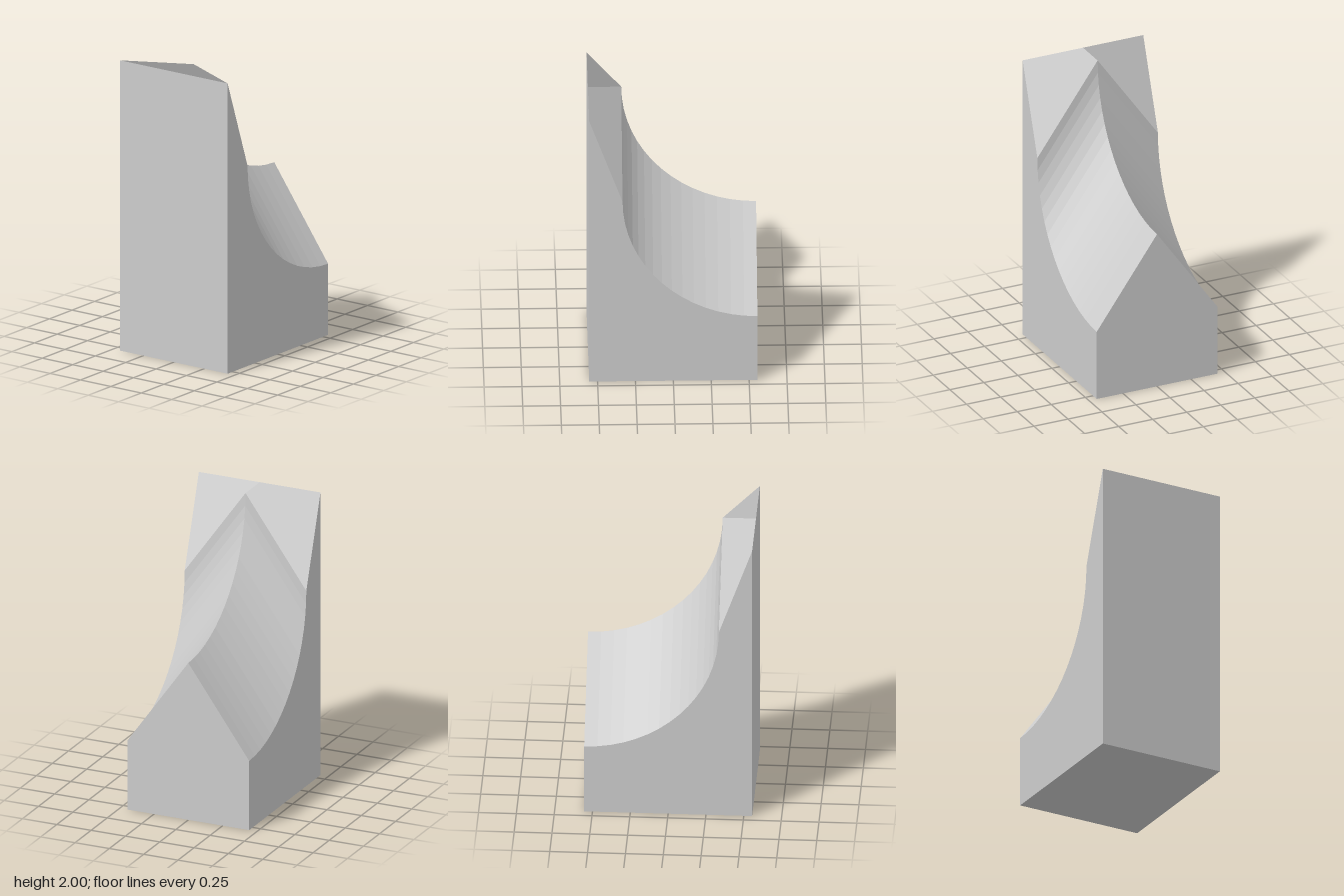
import * as THREE from 'three';

const X = 0.555, D = 0.443;          // half length, half depth
const TOP = 2, R = 0.89, DROP = 0.62; // height, scoop radius, ridge-to-eave drop
const STEPS = 16;

// Flat-shaded faces: each convex or star-shaped loop is fanned from its first
// corner and carries one average normal.
function faces(loops) {
  const pos = [], nor = [];
  for (const loop of loops) {
    const p = loop.map((c) => new THREE.Vector3(...c));
    const n = new THREE.Vector3();
    for (let i = 1; i < p.length - 1; i++) {
      const u = p[i].clone().sub(p[0]), v = p[i + 1].clone().sub(p[0]);
      n.add(u.cross(v));
    }
    n.normalize();
    for (let i = 1; i < p.length - 1; i++) {
      for (const q of [p[0], p[i], p[i + 1]]) {
        pos.push(q.x, q.y, q.z);
        nor.push(n.x, n.y, n.z);
      }
    }
  }
  const g = new THREE.BufferGeometry();
  g.setAttribute('position', new THREE.Float32BufferAttribute(pos, 3));
  g.setAttribute('normal', new THREE.Float32BufferAttribute(nor, 3));
  return g;
}

// Copy a loop to the back half, keeping its first corner and facing outward
const mirror = ([first, ...rest]) =>
  [first, ...rest.reverse()].map(([x, y, z]) => [x, y, -z]);
const bothSides = (loops) => [...loops, ...loops.map(mirror)];

export function createModel() {
  const group = new THREE.Group();
  const stone = new THREE.MeshStandardMaterial({ color: 0xcccccc });
  stone.name = 'light grey';
  const add = (name, loops) => {
    const mesh = new THREE.Mesh(faces(loops), stone);
    mesh.name = name;
    group.add(mesh);
  };

  // Quarter-circle scoop along the ridge, from the crest down to the low end
  const arc = [];
  for (let i = 0; i <= STEPS; i++) {
    const a = (i / STEPS) * Math.PI / 2;
    arc.push([X - R * Math.cos(a), TOP - R * Math.sin(a)]);
  }
  const ridge = ([x, y]) => [x, y, 0];
  const eave = ([x, y]) => [x, y - DROP, D];

  // Curved gable roof
  const strips = [];
  for (let i = 0; i < STEPS; i++) {
    const a = arc[i], b = arc[i + 1];
    strips.push([ridge(a), eave(a), eave(b), ridge(b)]);
  }
  add('scoopedRoof', bothSides(strips));

  // Crest joining the tall end wall to the roof
  add('crest', bothSides([
    [ridge(arc[0]), [-X, TOP, 0], [-X, TOP, D], eave(arc[0])],
  ]));

  // Long side walls below the eaves
  add('sideWalls', bothSides([
    [[-X, 0, D], [X, 0, D], ...arc.map(eave).reverse(), [-X, TOP, D]],
  ]));

  // Gabled low end, tall flat end and underside
  const low = TOP - R;
  add('gableEnd', [[[X, 0, D], [X, 0, -D], [X, low - DROP, -D], [X, low, 0], [X, low - DROP, D]]]);
  add('tallEnd', [[[-X, 0, -D], [-X, 0, D], [-X, TOP, D], [-X, TOP, -D]]]);
  add('underside', [[[-X, 0, -D], [X, 0, -D], [X, 0, D], [-X, 0, D]]]);

  return group;
}
